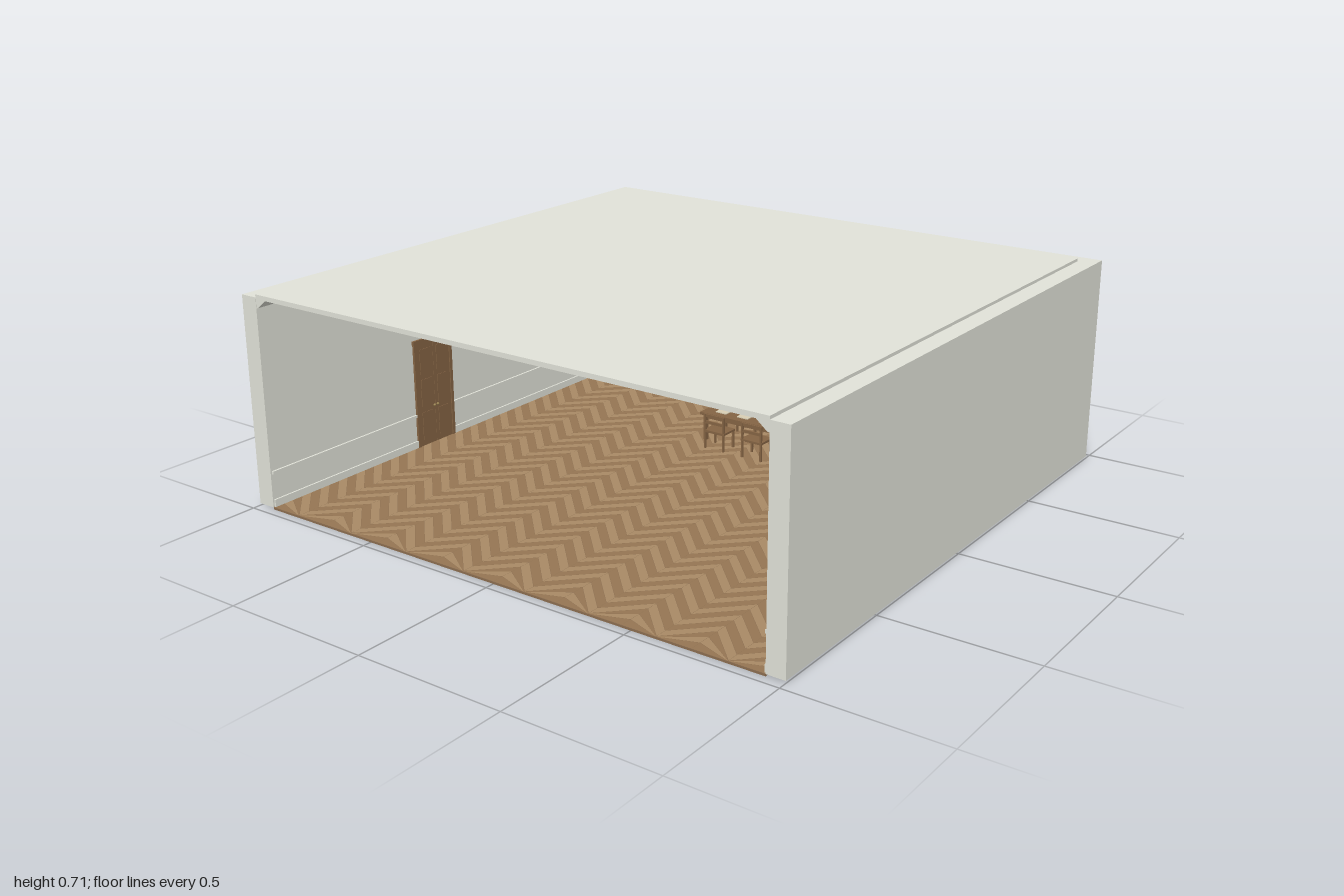
import * as THREE from 'three';

const mat = (name, color) => {
  const m = new THREE.MeshStandardMaterial({ color });
  m.name = name;
  return m;
};

export function createModel() {
  const plaster = mat('plaster', 0xe2e3d9);
  const frame = mat('window frame', 0xd4d5d0);
  const base = mat('floor base', 0x8c6e50);
  const oak = mat('light oak', 0xa98a65);
  const oakDark = mat('dark oak', 0x967653);
  const wood = mat('furniture wood', 0x856444);
  const dark = mat('dark wood', 0x584233);
  const paper = mat('paper', 0xd9cfb4);
  const brass = mat('brass', 0x9b8450);

  const room = new THREE.Group();
  room.name = 'hall';
  const add = (parent, name, geo, m, x = 0, y = 0, z = 0) => {
    const mesh = new THREE.Mesh(geo, m);
    mesh.name = name;
    mesh.position.set(x, y, z);
    parent.add(mesh);
    return mesh;
  };
  const box = (parent, name, m, w, h, d, x, y, z) =>
    add(parent, name, new THREE.BoxGeometry(w, h, d), m, x, y, z);
  const group = (name, x, y, z) => {
    const g = new THREE.Group();
    g.name = name;
    g.position.set(x, y, z);
    room.add(g);
    return g;
  };

  // Shell: floor slab, side walls and raised roof slab
  box(room, 'floorSlab', base, 1.876, 0.007, 1.937, 0, 0.0035, 0.001);
  box(room, 'roof', plaster, 1.876, 0.015, 1.88, 0, 0.7075, 0.03);
  for (const s of [-1, 1]) box(room, 'sideWall', plaster, 0.062, 0.698, 1.938, s * 0.969, 0.356, 0.001);

  // Chevron parquet, columns of slanted planks clamped to the floor's ends
  const cols = 16, colW = 1.876 / cols, pitch = 0.04;
  const planks = [[], []];
  const clampZ = (z) => THREE.MathUtils.clamp(z, -0.908, 0.969);
  for (let c = 0; c < cols; c++) {
    const x0 = -0.938 + c * colW, x1 = x0 + colW - 0.001;
    const l = c % 2 ? colW : 0, r = colW - l;
    for (let i = 0; i < 51; i++) {
      const z = -1.03 + i * pitch, e = pitch - 0.002;
      const p = [[x0, z + l], [x0, z + l + e], [x1, z + r + e], [x1, z + r]]
        .map(([x, zz]) => [x, 0.0078, clampZ(zz)]);
      planks[i % 2].push(...[0, 1, 2, 0, 2, 3].flatMap((k) => p[k]));
    }
  }
  planks.forEach((pos, i) => {
    const g = new THREE.BufferGeometry();
    g.setAttribute('position', new THREE.Float32BufferAttribute(pos, 3));
    g.setAttribute('normal', new THREE.Float32BufferAttribute(pos.map((_, k) => (k % 3 === 1 ? 1 : 0)), 3));
    add(room, 'parquet', g, i ? oakDark : oak);
  });

  // Back wall pierced by seven arched openings
  const R = 0.088, spring = 0.459, sill = 0.012;
  const arch = (path, cx, r, bottom) => {
    path.moveTo(cx - r, bottom);
    path.lineTo(cx + r, bottom);
    path.lineTo(cx + r, spring);
    path.absarc(cx, spring, r, 0, Math.PI, false);
    path.lineTo(cx - r, bottom);
    return path;
  };
  const centers = Array.from({ length: 7 }, (_, i) => (i - 3) * 0.2685);
  const wall = new THREE.Shape();
  wall.moveTo(-0.938, 0.007);
  wall.lineTo(0.938, 0.007);
  wall.lineTo(0.938, 0.705);
  wall.lineTo(-0.938, 0.705);
  wall.closePath();
  centers.forEach((x) => wall.holes.push(arch(new THREE.Path(), x, R, sill)));
  const extrude = (shape, depth) =>
    new THREE.ExtrudeGeometry(shape, { depth, bevelEnabled: false, curveSegments: 20 });
  add(room, 'backWall', extrude(wall, 0.0575), plaster, 0, 0, -0.9675);

  // One window: frame, glazing bars, fanlight and hood moulding
  const outer = arch(new THREE.Shape(), 0, R, sill);
  outer.holes.push(arch(new THREE.Path(), 0, R - 0.006, sill + 0.006));
  const frameGeo = extrude(outer, 0.02);
  const hood = new THREE.Shape();
  hood.moveTo(0.103, spring);
  hood.absarc(0, spring, 0.103, 0, Math.PI, false);
  hood.lineTo(-R, spring);
  hood.absarc(0, spring, R, Math.PI, 0, true);
  const hoodGeo = extrude(hood, 0.01);
  const fanGeo = new THREE.TorusGeometry(0.038, 0.0018, 6, 16, Math.PI);
  for (const x of centers) {
    const w = group('window', x, 0, -0.97);
    add(w, 'windowFrame', frameGeo, frame);
    add(w, 'hoodMoulding', hoodGeo, plaster, 0, 0, 0.059);
    for (const bx of [-0.044, 0, 0.044])
      box(w, 'verticalBar', frame, bx ? 0.004 : 0.008, spring - sill, 0.01, bx, (spring + sill) / 2, 0.01);
    for (const y of [0.08, 0.19, 0.235, 0.305, 0.38])
      box(w, 'crossBar', frame, 2 * R, 0.004, 0.01, 0, y, 0.01);
    for (const y of [0.133, 0.148]) box(w, 'transom', frame, 2 * R, 0.007, 0.018, 0, y, 0.011);
    box(w, 'springBar', frame, 2 * R, 0.009, 0.018, 0, spring, 0.011);
    add(w, 'fanArc', fanGeo, frame, 0, spring, 0.01);
    for (let k = 1; k < 6; k++) {
      const a = (k * Math.PI) / 6;
      const bar = box(w, 'fanSpoke', frame, 0.048, 0.0035, 0.008,
        Math.cos(a) * 0.061, spring + Math.sin(a) * 0.061, 0.01);
      bar.rotation.z = a;
    }
  }

  // Sloped cornice along the side walls and the back wall
  const slope = new THREE.Shape([[0, 0.67], [0.008, 0.672], [0.042, 0.7], [0, 0.7]]
    .map(([x, y]) => new THREE.Vector2(x, y)));
  const corniceSide = extrude(slope, 1.879);
  add(room, 'corniceRight', corniceSide, plaster, -0.938, 0, -0.91);
  add(room, 'corniceLeft', corniceSide, plaster, 0.938, 0, 0.969).rotation.y = Math.PI;
  add(room, 'corniceBack', extrude(slope, 1.876), plaster, 0.938, 0, -0.91).rotation.y = -Math.PI / 2;

  // Side wall joinery: skirting, chair rail and a panelled double door
  const doorZ = 0.225;
  for (const s of [-1, 1]) {
    for (const [z0, z1] of [[-0.905, doorZ - 0.092], [doorZ + 0.092, 0.965]]) {
      const len = z1 - z0, mid = (z0 + z1) / 2;
      box(room, 'skirting', plaster, 0.006, 0.025, len, s * 0.935, 0.0205, mid);
      box(room, 'chairRail', plaster, 0.008, 0.01, len, s * 0.935, 0.125, mid);
    }
    const door = group('door', s * 0.936, 0, doorZ);
    for (const t of [-1, 1]) {
      box(door, 'doorLeaf', wood, 0.006, 0.376, 0.079, 0, 0.196, t * 0.04);
      box(door, 'doorJamb', wood, 0.012, 0.385, 0.012, 0, 0.2, t * 0.086);
      for (const [y, h] of [[0.08, 0.1], [0.2, 0.1], [0.315, 0.09]])
        box(door, 'doorPanel', wood, 0.004, h, 0.05, -s * 0.003, y, t * 0.04);
      add(door, 'doorKnob', new THREE.SphereGeometry(0.005, 10, 8), brass, -s * 0.008, 0.145, t * 0.008);
    }
    box(door, 'doorHead', wood, 0.014, 0.014, 0.19, 0, 0.39, 0);
  }

  // Long table with papers and books
  const table = group('table', 0, 0.007, -0.4);
  box(table, 'tableTop', wood, 0.36, 0.01, 0.15, 0, 0.1, 0);
  box(table, 'tableApron', wood, 0.32, 0.015, 0.12, 0, 0.088, 0);
  for (const x of [-0.165, 0.165]) for (const z of [-0.06, 0.06])
    box(table, 'tableLeg', wood, 0.013, 0.095, 0.013, x, 0.0475, z);
  for (const x of [-0.11, -0.02, 0.07])
    box(table, 'paperSheet', paper, 0.045, 0.003, 0.035, x, 0.1065, 0.03);
  for (const [x, h] of [[-0.07, 0.014], [0.03, 0.018], [0.135, 0.012]])
    box(table, 'book', dark, 0.045, h, 0.032, x, 0.105 + h / 2, -0.02);

  // Chairs on both sides of the table
  for (const s of [-1, 1]) for (const x of [-0.08, 0.075]) {
    const chair = group('chair', x, 0.007, -0.4 + s * 0.1);
    chair.rotation.y = s > 0 ? 0 : Math.PI;
    box(chair, 'seat', wood, 0.085, 0.008, 0.07, 0, 0.065, 0);
    for (const t of [-1, 1]) {
      box(chair, 'frontLeg', wood, 0.007, 0.064, 0.007, t * 0.038, 0.032, -0.03);
      box(chair, 'backLeg', wood, 0.007, 0.127, 0.007, t * 0.038, 0.0635, 0.031);
    }
    for (const y of [0.098, 0.122]) box(chair, 'backRail', wood, 0.076, 0.01, 0.006, 0, y, 0.031);
  }

  // Reading stand on a three-footed post
  const stand = group('readingStand', 0.62, 0.007, -0.3);
  add(stand, 'post', new THREE.CylinderGeometry(0.004, 0.006, 0.13, 12), wood, 0, 0.09, 0);
  for (let i = 0; i < 3; i++) {
    const a = (i * 2 * Math.PI) / 3;
    const foot = new THREE.CatmullRomCurve3([[0, 0.035], [0.018, 0.022], [0.036, 0.004]]
      .map(([r, y]) => new THREE.Vector3(Math.cos(a) * r, y, Math.sin(a) * r)));
    add(stand, 'foot', new THREE.TubeGeometry(foot, 8, 0.004, 8), dark);
  }
  box(stand, 'deskTop', wood, 0.1, 0.008, 0.08, 0, 0.158, 0).rotation.z = 0.2;
  box(stand, 'deskPage', paper, 0.07, 0.003, 0.055, -0.001, 0.164, 0).rotation.z = 0.2;

  return room;
}
